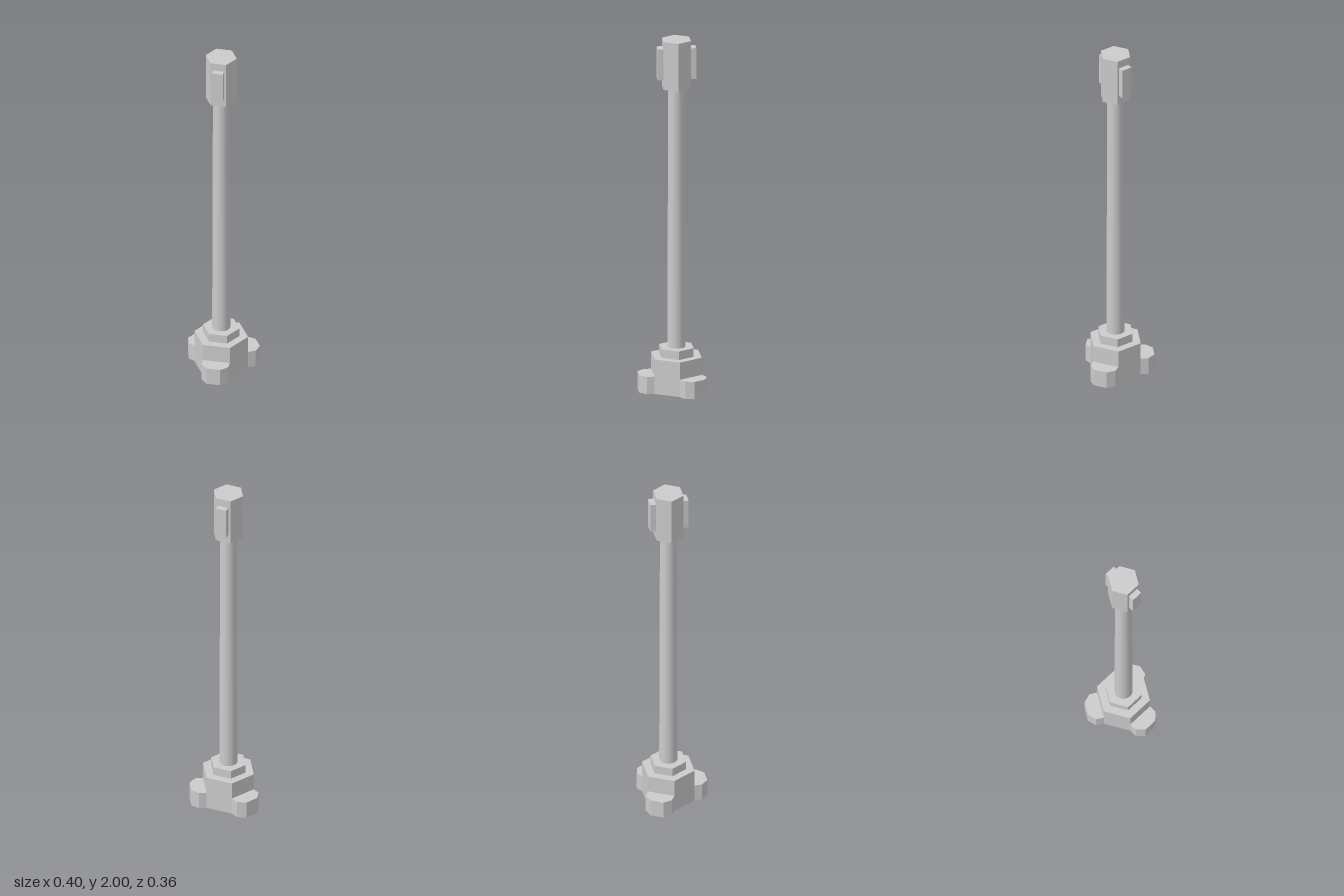
import * as THREE from 'three';

const material = new THREE.MeshStandardMaterial({ color: 0xcccccc, flatShading: true });
const smooth = new THREE.MeshStandardMaterial({ color: 0xcccccc });

export function createModel() {
  const model = new THREE.Group();
  // everything stands around one upright axis, set slightly back
  const body = new THREE.Group();
  body.name = 'body';
  body.position.z = -0.03;
  model.add(body);

  const add = (name, geometry, mat = material) => {
    const mesh = new THREE.Mesh(geometry, mat);
    mesh.name = name;
    body.add(mesh);
    return mesh;
  };

  // hexagonal prism with a flat side to the front
  const hexPrism = (name, radius, y0, y1) =>
    add(name, new THREE.CylinderGeometry(radius, radius, y1 - y0, 6)
      .rotateY(Math.PI / 6).translate(0, (y0 + y1) / 2, 0));

  hexPrism('base', 0.15, 0, 0.197);
  hexPrism('collar', 0.102, 0.197, 0.246);
  hexPrism('head', 0.0866, 1.726, 2);

  // slightly tapered round shaft
  add('shaft', new THREE.CylinderGeometry(0.046, 0.05, 1.48, 24, 1, true).translate(0, 0.986, 0), smooth);

  // three chamfered feet on alternate sides of the base
  const outline = new THREE.Shape([
    [-0.075, -0.13], [-0.075, -0.173], [-0.037, -0.21],
    [0.037, -0.21], [0.075, -0.173], [0.075, -0.13],
  ].map(([x, y]) => new THREE.Vector2(x, y)));
  const footGeometry = new THREE.ExtrudeGeometry(outline, { depth: 0.099, bevelEnabled: false })
    .rotateX(-Math.PI / 2);
  for (let i = 0; i < 3; i++) {
    add('foot' + (i + 1), footGeometry).rotation.y = (i * Math.PI * 2) / 3;
  }

  // raised plates on the front and back of the head
  for (const [name, side] of [['frontPlate', 1], ['backPlate', -1]]) {
    add(name, new THREE.BoxGeometry(0.062, 0.176, 0.033)).position.set(0, 1.867, side * 0.0905);
  }
  return model;
}
